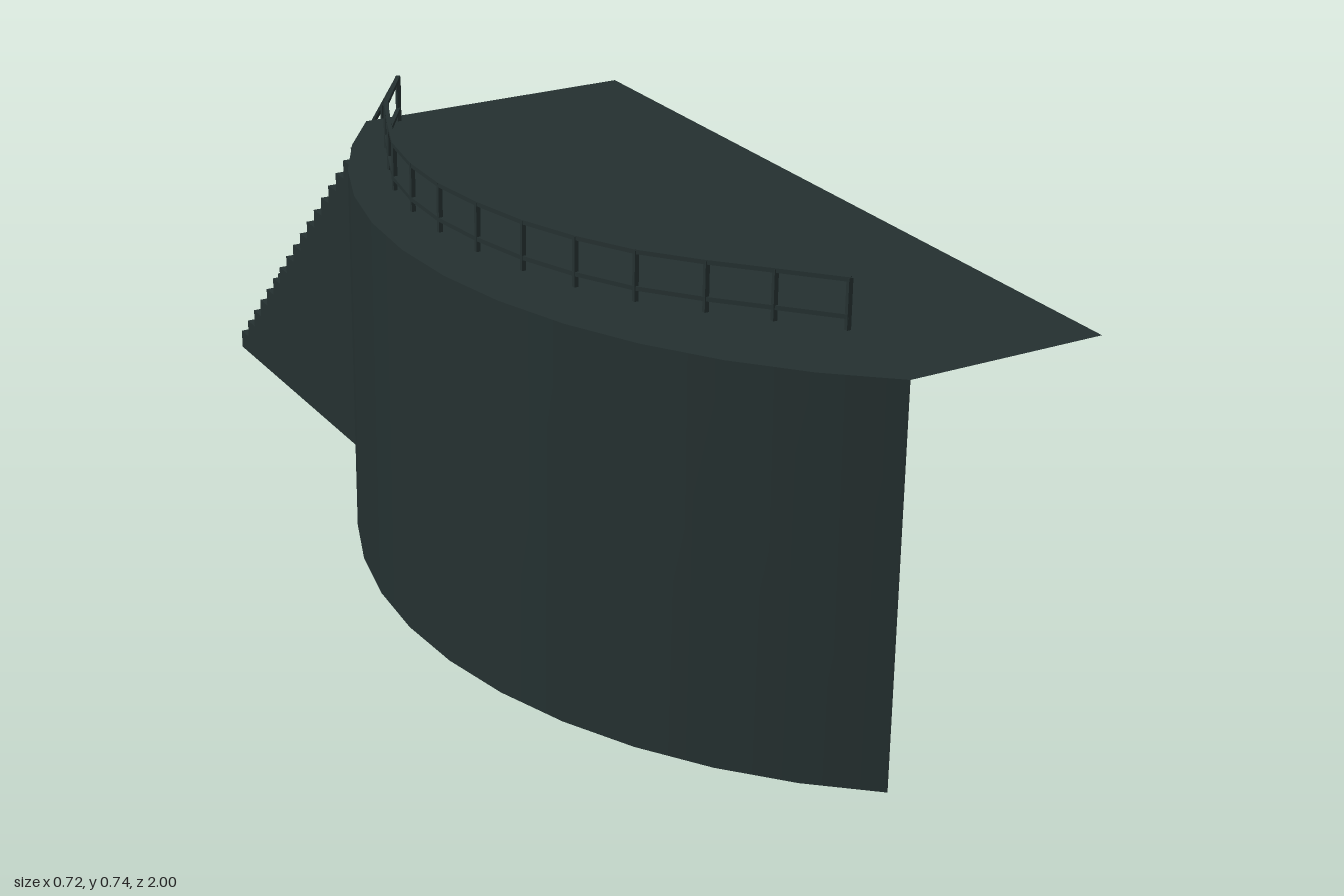
import * as THREE from 'three';
import { mergeGeometries } from 'three/addons/utils/BufferGeometryUtils.js';

const H = 0.655;                 // deck height
const RIGHT = -0.14, LEFT = 0.36; // stair sides
const STEPS = 19, Z_TOP = -0.38, Z_END = -1;

export function createModel() {
  const model = new THREE.Group();
  const slate = new THREE.MeshStandardMaterial({ color: 0x243030, side: THREE.DoubleSide });
  slate.name = 'dark slate';

  const add = (name, geometry, parent = model) => {
    const mesh = new THREE.Mesh(geometry, slate);
    mesh.name = name;
    parent.add(mesh);
    return mesh;
  };

  // Curved outer wall: an open arc of a cylinder
  const R = 0.953, cx = 0.591, cz = 0.231, SEG = 12;
  const a0 = Math.asin((Z_TOP - cz) / R), a1 = Math.asin((1 - cz) / R);
  const wall = new THREE.CylinderGeometry(R, R, H, SEG, 1, true, a0 - Math.PI / 2, a1 - a0);
  add('curvedWall', wall.translate(cx, H / 2, cz));

  // Deck: a thin sheet that follows the arc
  const outline = [new THREE.Vector2(LEFT, -1), new THREE.Vector2(LEFT, -Z_TOP)];
  for (let i = 0; i <= SEG; i++) {
    const a = a0 + (a1 - a0) * i / SEG;
    outline.push(new THREE.Vector2(cx - R * Math.cos(a), -(cz + R * Math.sin(a))));
  }
  const deck = new THREE.ShapeGeometry(new THREE.Shape(outline));
  add('deck', deck.rotateX(-Math.PI / 2).translate(0, H, 0));

  // Stairs: risers and treads, with a stepped side wall
  const rise = H / STEPS, run = (Z_TOP - Z_END) / (STEPS - 1);
  const width = LEFT - RIGHT, mid = (LEFT + RIGHT) / 2;
  const sheets = [];
  const profile = [new THREE.Vector2(Z_TOP, 0), new THREE.Vector2(Z_END, 0)];
  for (let i = 0; i < STEPS; i++) {
    const z = Z_END + i * run, y = (i + 1) * rise;
    sheets.push(new THREE.PlaneGeometry(width, rise).rotateY(Math.PI).translate(mid, y - rise / 2, z));
    profile.push(new THREE.Vector2(z, y));
    if (i < STEPS - 1) {
      sheets.push(new THREE.PlaneGeometry(width, run).rotateX(-Math.PI / 2).translate(mid, y, z + run / 2));
      profile.push(new THREE.Vector2(z + run, y));
    }
  }
  add('stairs', mergeGeometries(sheets));
  const side = new THREE.ShapeGeometry(new THREE.Shape(profile));
  add('stairSideWall', side.rotateY(-Math.PI / 2).translate(RIGHT, 0, 0));

  // Square bar between two points
  const bar = (a, b, t) => {
    const from = new THREE.Vector3(...a), to = new THREE.Vector3(...b);
    const g = new THREE.BoxGeometry(t, t, from.distanceTo(to) + t * 0.5);
    const m = new THREE.Matrix4().lookAt(to, from, new THREE.Vector3(0, 1, 0.001));
    m.setPosition(from.add(to).multiplyScalar(0.5));
    return g.applyMatrix4(m);
  };
  const post = (x, z, y0, y1) =>
    new THREE.BoxGeometry(0.007, y1 - y0, 0.007).translate(x, (y0 + y1) / 2, z);

  // Deck railing: a post at each point, three rails between them
  const railing = new THREE.Group();
  railing.name = 'railing';
  model.add(railing);
  const pts = [
    [0.055, 0.81], [-0.018, 0.73], [-0.087, 0.655], [-0.155, 0.57], [-0.204, 0.478],
    [-0.24, 0.382], [-0.263, 0.278], [-0.275, 0.174], [-0.271, 0.07], [-0.252, -0.035],
    [-0.215, -0.13], [-0.171, -0.233], [-0.089, -0.356],
  ];
  add('deckPosts', mergeGeometries(pts.map(([x, z]) => post(x, z, 0.56, 0.735))), railing);
  for (const [name, y, t] of [['topRail', 0.733, 0.007], ['middleRail', 0.676, 0.007], ['lowerRail', 0.64, 0.005]]) {
    const bars = pts.slice(1).map(([x, z], i) => bar([pts[i][0], y, pts[i][1]], [x, y, z], t));
    add(name, mergeGeometries(bars), railing);
  }

  // Stair handrail: sloped bar, short level end, hanging posts
  const hx = -0.089, slope = (z) => 0.175 + (z + 0.885) * (0.558 / 0.529);
  add('stairHandrail', mergeGeometries([
    bar([hx, 0.733, -0.356], [hx, 0.175, -0.885], 0.006),
    bar([hx, 0.175, -0.885], [hx, 0.175, -0.912], 0.006),
  ]), railing);
  const stairPosts = [-0.42, -0.533, -0.655, -0.768, -0.885].map((z) => post(hx, z, slope(z) - 0.155, slope(z)));
  stairPosts.push(post(hx, -0.912, 0, 0.178));
  add('stairPosts', mergeGeometries(stairPosts), railing);

  return model;
}
